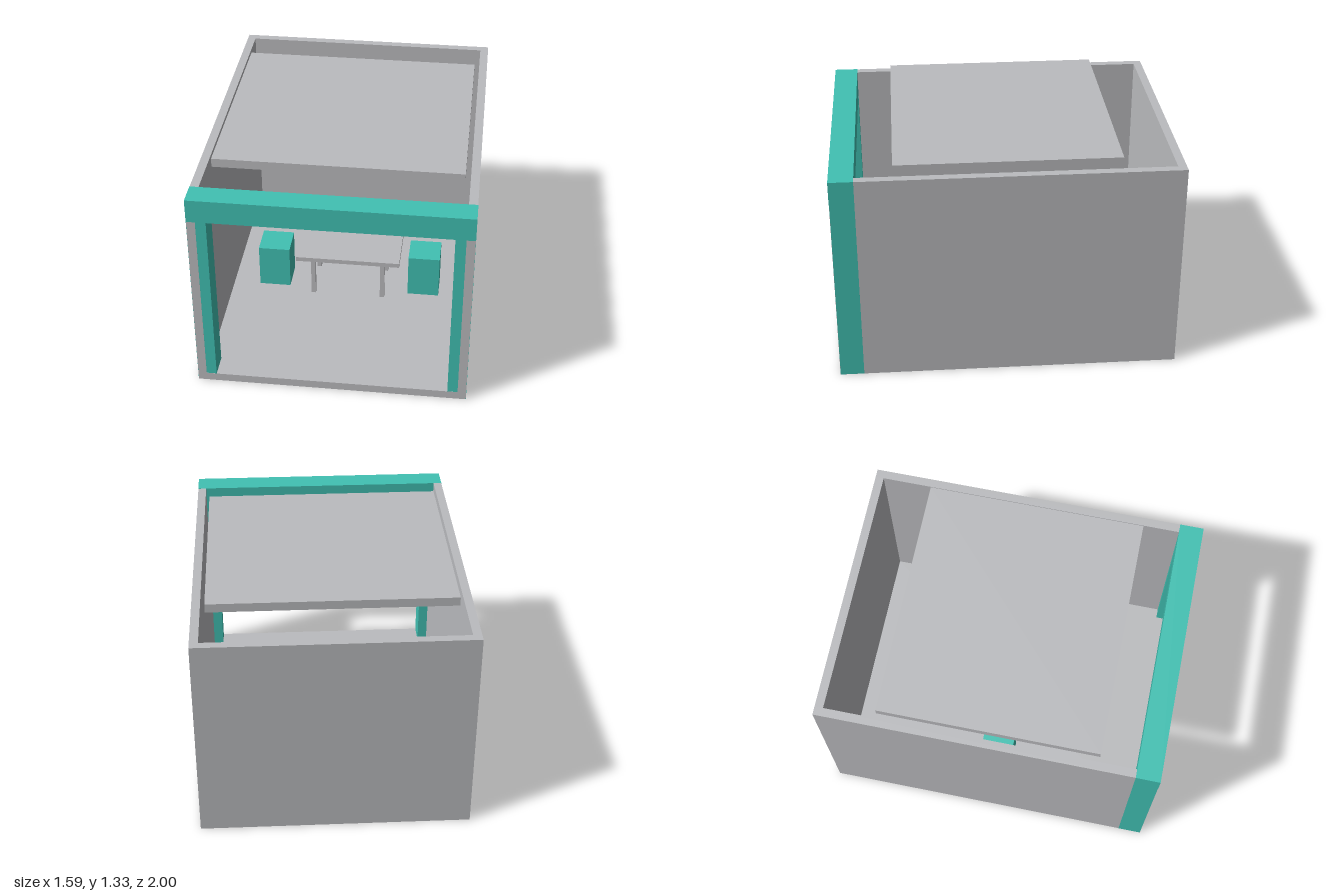
import * as THREE from 'three';

const grey = new THREE.MeshStandardMaterial({ color: 0xbbbcbf });
grey.name = 'grey';
const teal = new THREE.MeshStandardMaterial({ color: 0x41c1b3 });
teal.name = 'teal';

// Box given by its lower and upper limits on each axis
function box(parent, name, material, [x0, x1], [y0, y1], [z0, z1]) {
  const mesh = new THREE.Mesh(new THREE.BoxGeometry(x1 - x0, y1 - y0, z1 - z0), material);
  mesh.position.set((x0 + x1) / 2, (y0 + y1) / 2, (z0 + z1) / 2);
  mesh.name = name;
  parent.add(mesh);
  return mesh;
}

// Range mirrored to the chosen side of zero
const side = (s, a, b) => (s > 0 ? [a, b] : [-b, -a]);

export function createModel() {
  const booth = new THREE.Group();
  booth.name = 'booth';

  const W = 0.795, H = 1.28, T = 0.05, floorTop = 0.05, lip = 0.001;

  // Shell: floor, back wall, side walls, open front and top
  box(booth, 'floor', grey, [-W + T, W - T], [0, floorTop], [-1 + T, 1]);
  box(booth, 'backWall', grey, [-W + T, W - T], [0, H], [-1, -1 + T]);
  for (const s of [1, -1]) {
    const label = s > 0 ? 'left' : 'right';
    box(booth, label + 'Wall', grey, side(s, W - T, W), [0, H], [-1, 1]);

    // Corner post passes through the wall and shows on its outer face
    box(booth, label + 'Post', teal, side(s, 0.685, W + lip), [lip, 1.14], [0.86, 1 - lip]);

    // Block stool beside the table
    box(booth, label + 'Stool', teal, side(s, 0.38, 0.577), [floorTop, 0.33], [-0.098, 0.098]);
  }

  // Front beam over the opening
  box(booth, 'frontBeam', teal, [-W - lip, W + lip], [1.14, H + lip], [0.86, 1 + lip]);

  // Raised roof panel, clear of the walls
  box(booth, 'roofPanel', grey, [-0.716, 0.716], [H, 1.333], [-0.648, 0.645]);

  // Table with four legs
  const table = new THREE.Group();
  table.name = 'table';
  box(table, 'tableTop', grey, [-0.327, 0.327], [0.303, 0.332], [-0.17, 0.17]);
  for (const sx of [1, -1]) {
    for (const sz of [1, -1]) {
      box(table, 'tableLeg', grey, side(sx, 0.206, 0.234), [floorTop, 0.303], side(sz, 0.127, 0.155));
    }
  }
  booth.add(table);

  return booth;
}
